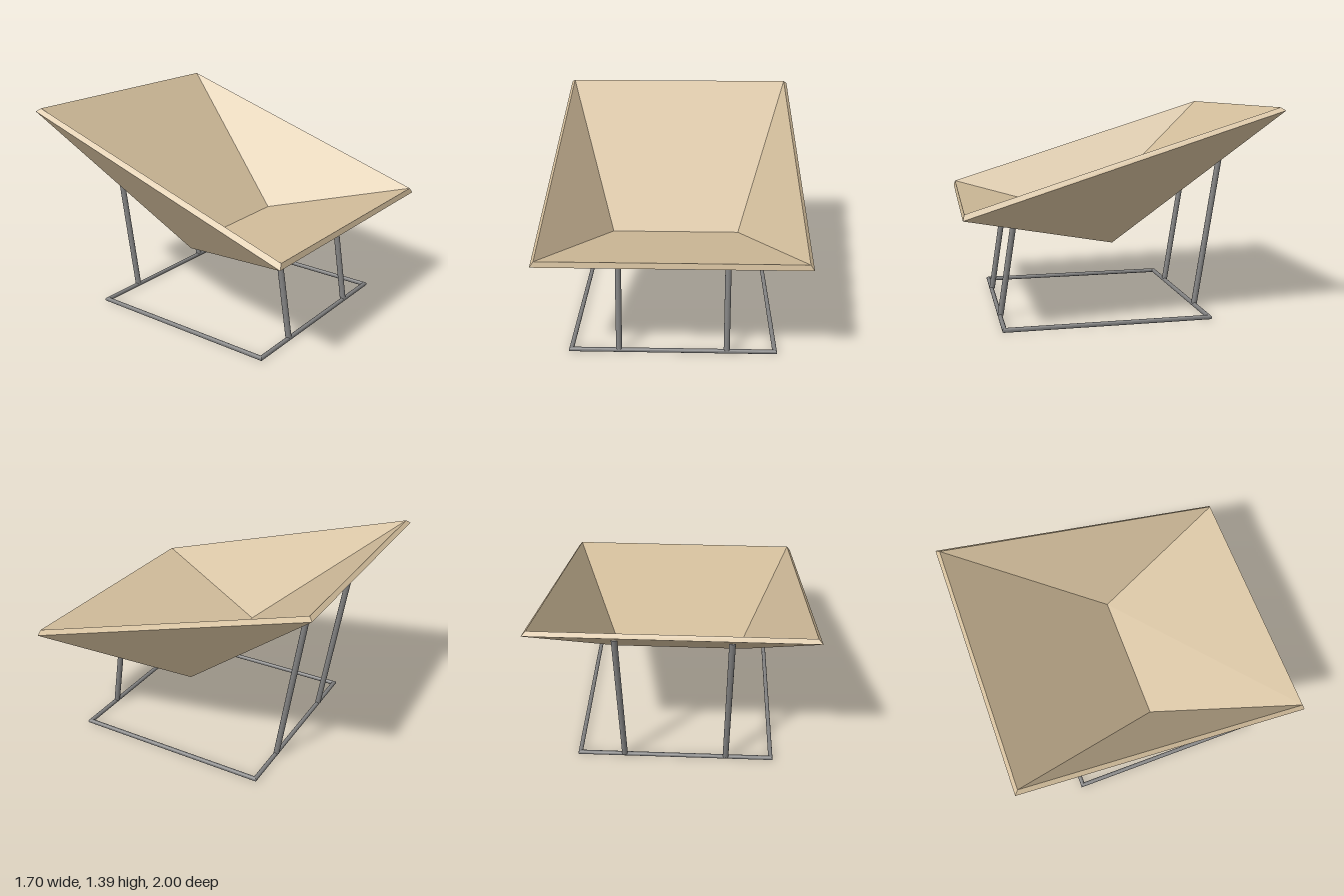
import * as THREE from 'three';
import { toCreasedNormals } from 'three/addons/utils/BufferGeometryUtils.js';

const shellMat = new THREE.MeshStandardMaterial({ color: 0xd2bd9b });
shellMat.name = 'tan shell';
const metalMat = new THREE.MeshStandardMaterial({ color: 0x808080 });
metalMat.name = 'grey metal';

const ROD = 0.015;
const LEG = 0.02;

function addMesh(parent, name, geometry, material) {
  const mesh = new THREE.Mesh(geometry, material);
  mesh.name = name;
  parent.add(mesh);
  return mesh;
}

// Six corners of a folded skin: front, back and fold, right (-x) then left (+x)
function skin(rimX, front, back, foldX, fold) {
  return [[rimX, front], [rimX, back], [foldX, fold]].flatMap(
    ([x, [y, z]]) => [[-x, y, z], [x, y, z]]
  );
}

// Folded seat shell: outer skin, inner skin and the rim joining them
function shellGeometry() {
  const outer = skin(0.85, [0.745, 1.0], [1.37, -1.0], 0.46, [0.5, 0.02]);
  const inner = skin(0.825, [0.78, 0.99], [1.39, -0.975], 0.445, [0.538, 0.025]);
  const FR = 0, FL = 1, BR = 2, BL = 3, RR = 4, RL = 5;
  const panels = [[FR, FL, RL, RR], [BL, BR, RR, RL], [FR, RR, BR], [FL, BL, RL]];
  const positions = [];

  // Fan of triangles, given with anticlockwise corners seen from outside
  const face = (pts) => {
    for (let i = 1; i < pts.length - 1; i++) {
      positions.push(...pts[0], ...pts[i], ...pts[i + 1]);
    }
  };

  for (const p of panels) {
    face(p.map((i) => outer[i]).reverse());
    face(p.map((i) => inner[i]));
  }
  const rim = [FR, FL, BL, BR];
  rim.forEach((a, i) => {
    const b = rim[(i + 1) % 4];
    face([outer[a], outer[b], inner[b], inner[a]]);
  });

  const g = new THREE.BufferGeometry();
  g.setAttribute('position', new THREE.Float32BufferAttribute(positions, 3));
  g.computeVertexNormals();
  return g;
}

// Mitred rectangular rod loop: a four-sided torus stretched to the rectangle
function baseGeometry(halfX, halfZ) {
  const g = new THREE.TorusGeometry(1, ROD, 16, 4);
  g.rotateZ(Math.PI / 4);
  g.rotateX(Math.PI / 2);
  const pos = g.attributes.position;
  for (let i = 0; i < pos.count; i++) {
    const x = pos.getX(i), z = pos.getZ(i);
    const out = Math.hypot(x, z) - 1;
    pos.setX(i, Math.sign(x) * (halfX + out));
    pos.setZ(i, Math.sign(z) * (halfZ + out));
  }
  return toCreasedNormals(g, 0.6);
}

// Round rod between two points
function addRod(parent, name, from, to) {
  const a = new THREE.Vector3(...from), b = new THREE.Vector3(...to);
  const dir = b.clone().sub(a);
  const rod = addMesh(parent, name, new THREE.CylinderGeometry(LEG, LEG, dir.length(), 20), metalMat);
  rod.position.copy(a).add(b).multiplyScalar(0.5);
  rod.quaternion.setFromUnitVectors(new THREE.Vector3(0, 1, 0), dir.normalize());
}

export function createModel() {
  const model = new THREE.Group();
  model.name = 'loungeChair';

  addMesh(model, 'seatShell', shellGeometry(), shellMat);

  const frame = new THREE.Group();
  frame.name = 'frame';
  model.add(frame);

  // Floor loop
  const base = addMesh(frame, 'baseLoop', baseGeometry(0.67, 0.6725), metalMat);
  base.position.set(0, ROD, 0.0825);

  // Legs lean backwards up to the shell
  for (const [side, x] of [['left', 0.355], ['right', -0.355]]) {
    addRod(frame, side + 'FrontLeg', [x, 0.022, 0.752], [x, 0.668, 0.65]);
    addRod(frame, side + 'BackLeg', [x, 0.022, -0.592], [x, 1.19, -0.775]);
  }
  return model;
}
